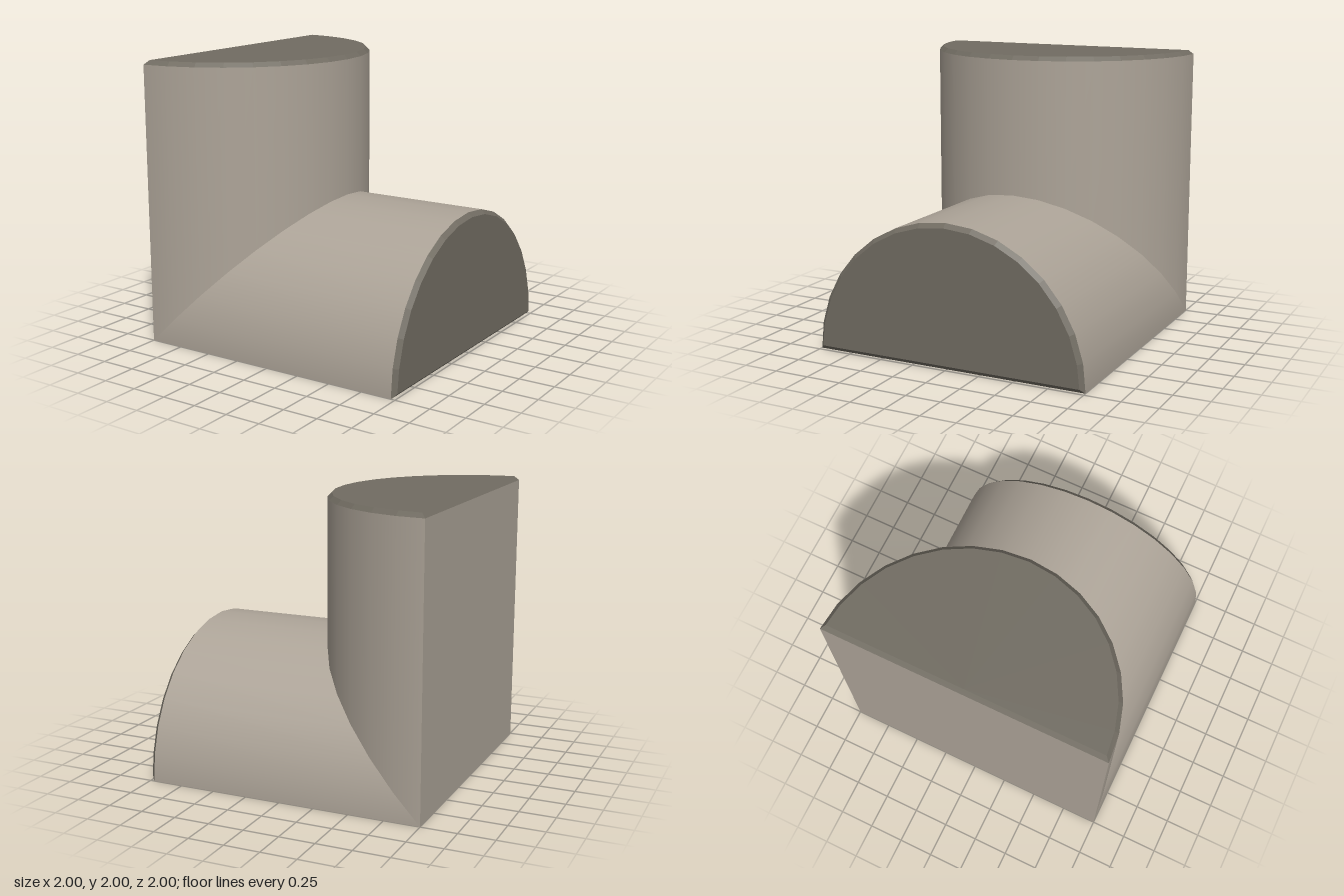
import * as THREE from 'three';

const SEGMENTS = 16;
const BEVEL = 0.03;
const LENGTH = 2;

// Points around a half circle, from z = -1 to z = 1
const angles = Array.from({ length: SEGMENTS + 1 }, (_, i) => (i / SEGMENTS - 0.5) * Math.PI);
const outline = angles.map((a) => [Math.max(0, Math.cos(a)), Math.sin(a)]);
const inset = outline.map(([x, z]) => [Math.max(BEVEL, x * (1 - BEVEL)), z * (1 - BEVEL)]);

function flatGeometry(points) {
  const geometry = new THREE.BufferGeometry();
  geometry.setAttribute('position', new THREE.Float32BufferAttribute(points.flat(), 3));
  geometry.computeVertexNormals();
  return geometry;
}

// Smooth curved wall, cut along the mitre plane y = x at its lower end
function curvedWallGeometry() {
  const positions = [], normals = [], index = [];
  outline.forEach(([x, z], i) => {
    positions.push(x, x, z, x, LENGTH - BEVEL, z);
    normals.push(x, 0, z, x, 0, z);
    if (i < SEGMENTS) {
      const a = 2 * i, b = a + 2;
      index.push(b, a, a + 1, b, a + 1, b + 1);
    }
  });
  const geometry = new THREE.BufferGeometry();
  geometry.setAttribute('position', new THREE.Float32BufferAttribute(positions, 3));
  geometry.setAttribute('normal', new THREE.Float32BufferAttribute(normals, 3));
  geometry.setIndex(index);
  return geometry;
}

// Bevel strip all around the half-round end, including its straight edge
function bevelGeometry() {
  const points = [];
  outline.forEach(([x, z], i) => {
    const j = (i + 1) % outline.length;
    const low = [x, LENGTH - BEVEL, z];
    const lowNext = [outline[j][0], LENGTH - BEVEL, outline[j][1]];
    const high = [inset[i][0], LENGTH, inset[i][1]];
    const highNext = [inset[j][0], LENGTH, inset[j][1]];
    points.push(lowNext, low, high, lowNext, high, highNext);
  });
  return flatGeometry(points);
}

// Half-round end face
function endFaceGeometry() {
  const points = [];
  for (let i = 0; i < SEGMENTS; i++) {
    points.push(
      [BEVEL, LENGTH, 0],
      [inset[i + 1][0], LENGTH, inset[i + 1][1]],
      [inset[i][0], LENGTH, inset[i][1]]
    );
  }
  return flatGeometry(points);
}

export function createModel() {
  const wallMaterial = new THREE.MeshStandardMaterial({ color: 0xada498 });
  wallMaterial.name = 'warm grey wall';
  const endMaterial = new THREE.MeshStandardMaterial({ color: 0x716c62 });
  endMaterial.name = 'dark grey end';

  const backGeometry = new THREE.PlaneGeometry(2, LENGTH - BEVEL);
  backGeometry.rotateY(-Math.PI / 2);
  backGeometry.translate(0, (LENGTH - BEVEL) / 2, 0);

  const parts = [
    ['curvedWall', curvedWallGeometry(), wallMaterial],
    ['flatBack', backGeometry, wallMaterial],
    ['endBevel', bevelGeometry(), endMaterial],
    ['endFace', endFaceGeometry(), endMaterial],
  ];

  // Upright arm
  const uprightArm = new THREE.Group();
  uprightArm.name = 'uprightArm';
  for (const [name, geometry, material] of parts) {
    const mesh = new THREE.Mesh(geometry, material);
    mesh.name = name;
    uprightArm.add(mesh);
  }
  uprightArm.position.x = -1;

  // Lying arm: the same part turned half a turn about the mitre diagonal
  const lyingArm = uprightArm.clone();
  lyingArm.name = 'lyingArm';
  lyingArm.quaternion.setFromAxisAngle(new THREE.Vector3(1, 1, 0).normalize(), Math.PI);

  const model = new THREE.Group();
  model.name = 'halfRoundElbow';
  model.add(uprightArm, lyingArm);
  return model;
}
